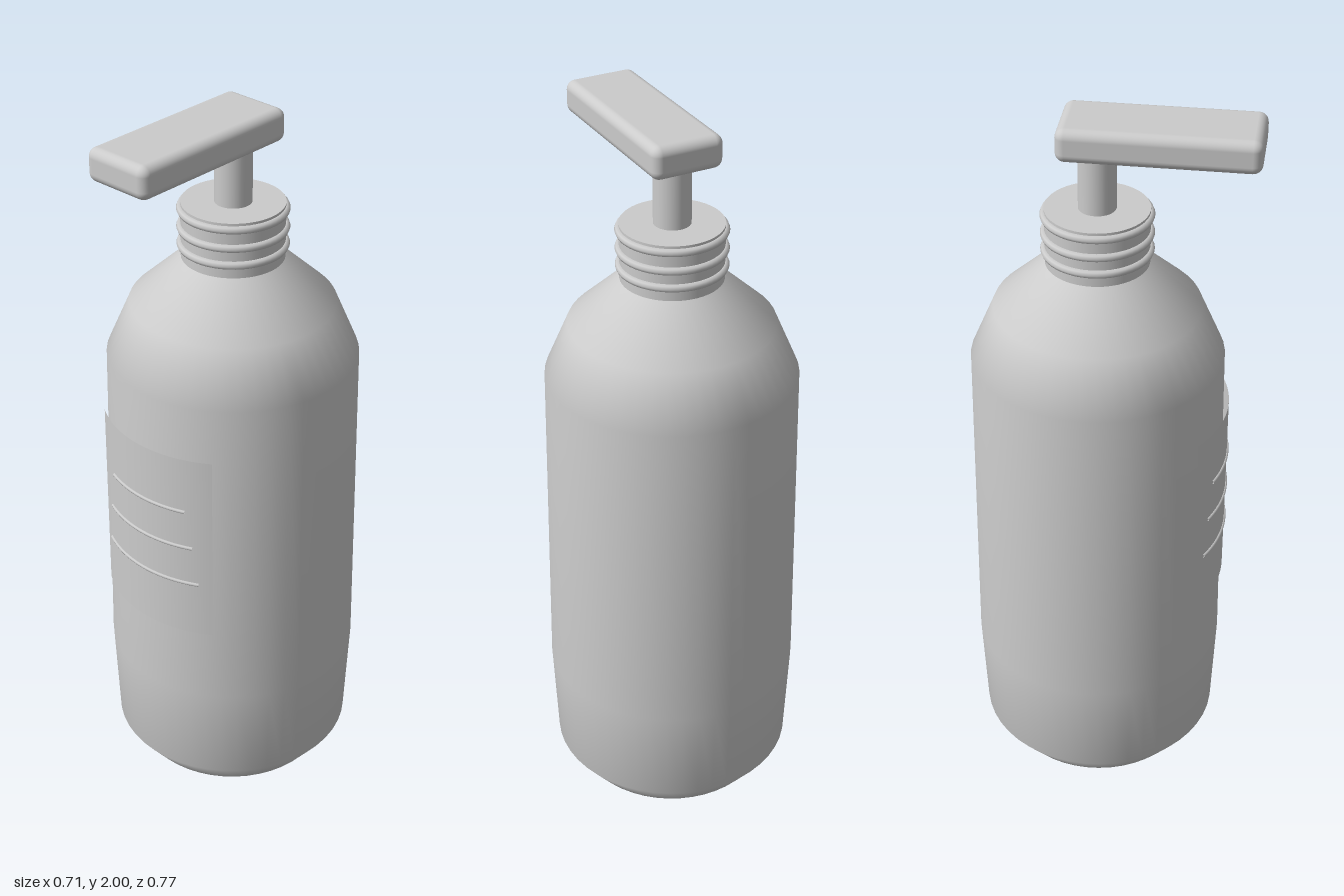
import * as THREE from 'three';
import { RoundedBoxGeometry } from 'three/addons/geometries/RoundedBoxGeometry.js';

const SEG = 48;
const AXIS_Z = -0.035; // bottle axis; the spout reaches forward of it
const LABEL_R = 0.358;

export function createModel() {
  const model = new THREE.Group();
  const bottle = new THREE.Group();
  bottle.name = 'pumpBottle';
  bottle.position.z = AXIS_Z;
  model.add(bottle);

  const material = new THREE.MeshStandardMaterial({ color: 0xcccccc });
  const thin = new THREE.MeshStandardMaterial({ color: 0xcccccc, side: THREE.DoubleSide });

  function add(name, geometry, y = 0, mat = material) {
    const mesh = new THREE.Mesh(geometry, mat);
    mesh.name = name;
    mesh.position.y = y;
    bottle.add(mesh);
    return mesh;
  }

  // Body: smooth turned shell with a flat base
  const profile = [
    [0.278, 0], [0.34, 0.08], [0.353, 0.37], [0.342, 1.31],
    [0.278, 1.46], [0.138, 1.59],
  ].map(([r, y]) => new THREE.Vector2(r, y));
  add('body', new THREE.LatheGeometry(profile, SEG));
  add('base', new THREE.CircleGeometry(0.278, SEG).rotateX(Math.PI / 2));

  // Neck with rounded thread rings
  add('neck', new THREE.CylinderGeometry(0.138, 0.138, 0.175, SEG), 1.6575);
  for (const y of [1.627, 1.675, 1.727]) {
    add('threadRing', new THREE.TorusGeometry(0.138, 0.011, 8, SEG).rotateX(Math.PI / 2), y);
  }

  // Pump stem and flat head
  add('pumpStem', new THREE.CylinderGeometry(0.05, 0.05, 0.19, 32), 1.83);
  const head = add('pumpHead', new RoundedBoxGeometry(0.2, 0.09, 0.517, 4, 0.025), 1.955);
  head.position.z = 0.1285 - AXIS_Z;

  // Curved label wrapped on the front
  const half = Math.asin(0.2 / LABEL_R);
  add('label', new THREE.CylinderGeometry(
    LABEL_R, LABEL_R, 0.565, 24, 1, true, -half, half * 2), 0.8775, thin);

  // Raised lines following the label
  for (const [y, halfWidth] of [[0.995, 0.133], [0.88, 0.152], [0.762, 0.167]]) {
    const a = Math.asin(halfWidth / LABEL_R);
    const arc = new THREE.TorusGeometry(LABEL_R, 0.005, 8, 24, a * 2)
      .rotateX(Math.PI / 2)
      .rotateY(a - Math.PI / 2);
    add('labelLine', arc, y, thin);
  }

  return model;
}
